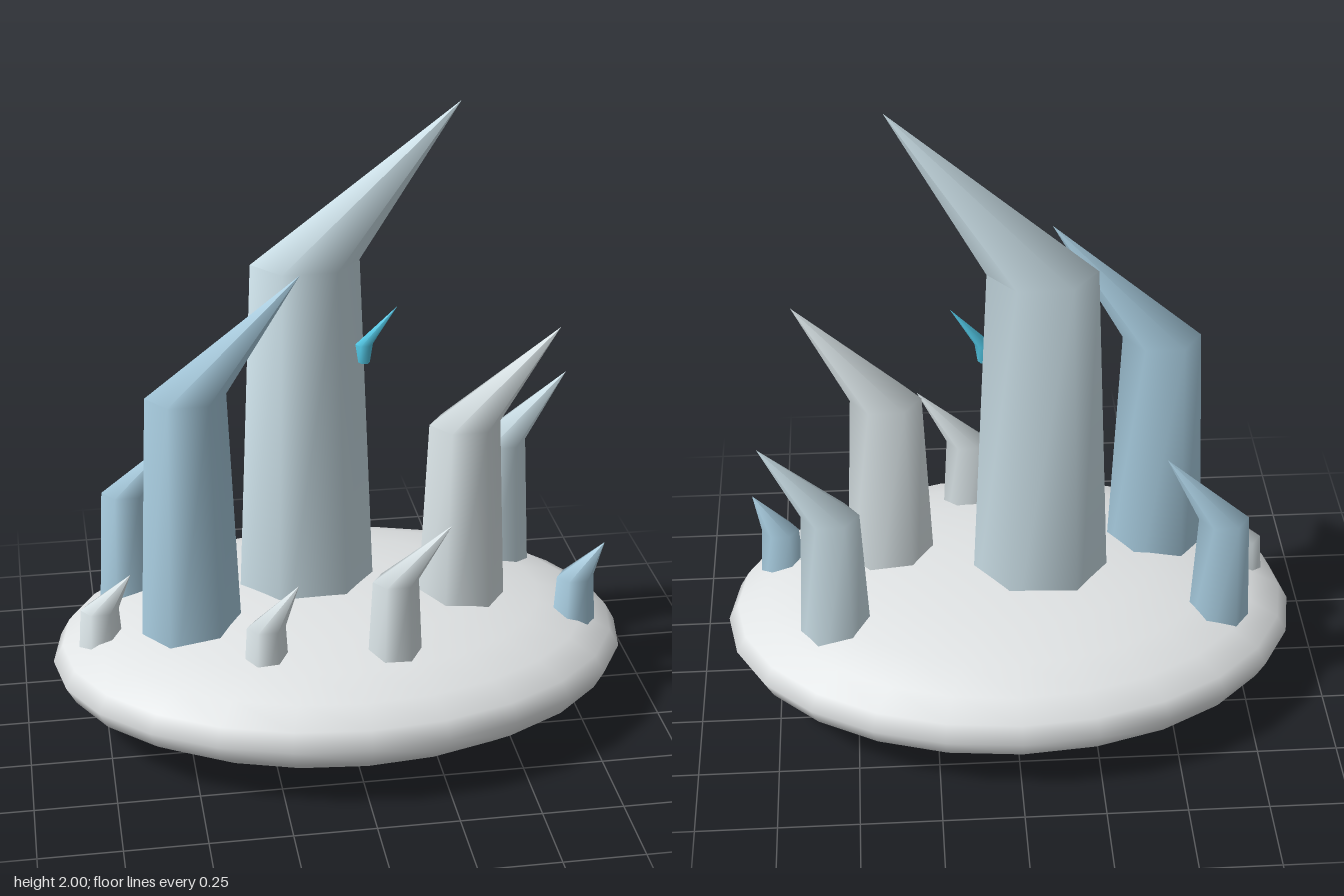
import * as THREE from 'three';
import { mergeVertices, toCreasedNormals } from 'three/addons/utils/BufferGeometryUtils.js';

const ICE = 0xc8dce4, PALE = 0xd6e0e3, BLUE = 0xa6cadd, CYAN = 0x52c8e6;

// Six-sided tapered column whose pointed top leans towards +x
function crystalGeometry({ r, shoulderR, baseY, shoulderY, tip, x, z, depth = 0.83 }) {
  const g = new THREE.CylinderGeometry(0, 1, 2, 6, 2, false, Math.PI / 2);
  const p = g.attributes.position;
  for (let i = 0; i < p.count; i++) {
    const level = Math.round(p.getY(i)); // -1 base, 0 shoulder, 1 tip
    if (level === 1) {
      p.setXYZ(i, ...tip);
      continue;
    }
    const radius = level === 0 ? shoulderR * 2 : r;
    p.setXYZ(i, x + p.getX(i) * radius, level === 0 ? shoulderY : baseY, z + p.getZ(i) * radius * depth);
  }
  g.deleteAttribute('uv');
  g.deleteAttribute('normal');
  return toCreasedNormals(mergeVertices(g), 1.3);
}

export function createModel() {
  const group = new THREE.Group();
  const add = (name, geometry, color) => {
    const mesh = new THREE.Mesh(geometry, new THREE.MeshStandardMaterial({ color }));
    mesh.name = name;
    group.add(mesh);
  };

  // Flattened snow mound
  const mound = new THREE.SphereGeometry(1, 24, 12);
  mound.scale(0.91, 0.217, 0.67);
  mound.translate(0, 0.222, 0);
  add('snowMound', mound, 0xe0e3e4);

  // Crystals: name, centre x, centre z, base radius, tip, colour
  const crystals = [
    ['mainCrystal', -0.095, -0.045, 0.225, [0.36, 2.0, 0.02], ICE, 0.74],
    ['tallLeftCrystal', -0.48, 0.13, 0.165, [-0.14, 1.54, 0.17], BLUE],
    ['tallRightCrystal', 0.38, 0.08, 0.15, [0.66, 1.31, 0.12], PALE],
    ['backRightCrystal', 0.56, -0.23, 0.12, [0.77, 1.02, -0.21], ICE],
    ['backLeftCrystal', -0.65, -0.205, 0.105, [-0.47, 0.91, -0.18], BLUE],
    ['frontCrystal', 0.115, 0.38, 0.095, [0.28, 0.81, 0.4], PALE],
    ['smallFrontCrystal', -0.275, 0.355, 0.08, [-0.175, 0.62, 0.355], PALE],
    ['smallRightCrystal', 0.735, 0.14, 0.08, [0.82, 0.59, 0.16], BLUE],
    ['smallLeftCrystal', -0.76, 0.06, 0.08, [-0.66, 0.54, 0.055], PALE],
  ];
  const baseY = 0.13;
  for (const [name, x, z, r, tip, color, depth] of crystals) {
    const shoulderY = baseY + (tip[1] - baseY) * 0.733;
    add(name, crystalGeometry({ r, shoulderR: r * 0.74, baseY, shoulderY, tip, x, z, depth }), color);
  }

  // Small bright shard on the side of the main crystal
  add('shard', crystalGeometry({
    r: 0.018, shoulderR: 0.027, baseY: 1.18, shoulderY: 1.24, tip: [0.18, 1.36, 0], x: 0.08, z: -0.007, depth: 0.95,
  }), CYAN);

  return group;
}
